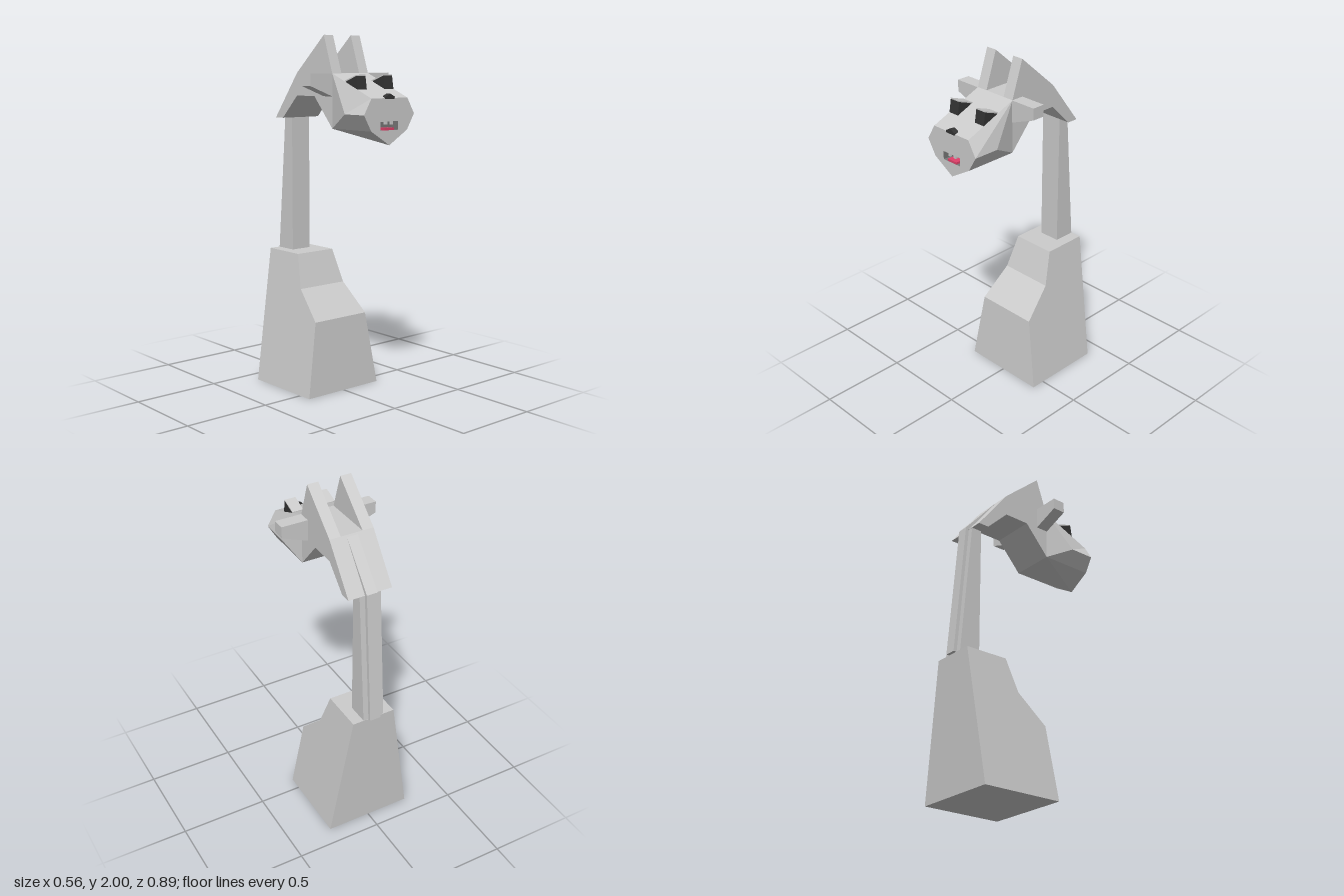
import * as THREE from 'three';

const paint = (color, side = THREE.FrontSide) =>
  new THREE.MeshStandardMaterial({ color, side, flatShading: true });
const grey = paint(0xcccccc);
const dark = paint(0x333333);
const pink = paint(0xe0406a);

const toShape = (pts) => new THREE.Shape(pts.map(([a, b]) => new THREE.Vector2(a, b)));
const extrude = (pts, depth) =>
  new THREE.ExtrudeGeometry(toShape(pts), { depth, bevelEnabled: false });

// Side outline given as [z, y], spanning x0 to x1
function sideSlab(pts, x0, x1) {
  return extrude(pts, x1 - x0).rotateY(-Math.PI / 2).translate(x1, 0, 0);
}

// Flat polygons, corners counter-clockwise seen from outside
function polygons(faces) {
  const out = [];
  for (const f of faces) {
    for (let i = 1; i < f.length - 1; i++) out.push(...f[0], ...f[i], ...f[i + 1]);
  }
  const g = new THREE.BufferGeometry();
  g.setAttribute('position', new THREE.Float32BufferAttribute(out, 3));
  g.computeVertexNormals();
  return g;
}

export function createModel() {
  const model = new THREE.Group();
  model.name = 'giraffe';
  const add = (name, geometry, material = grey) => {
    const mesh = new THREE.Mesh(geometry, material);
    mesh.name = name;
    model.add(mesh);
    return mesh;
  };
  const box = (name, size, at, material) =>
    add(name, new THREE.BoxGeometry(...size).translate(...at), material);

  // Body: stepped side outline, narrowing towards the top
  const body = sideSlab(
    [[0.08, 0], [0.053, 0.42], [-0.11, 0.58], [-0.172, 0.77], [-0.43, 0.77], [-0.398, 0]], -1, 1);
  const p = body.attributes.position;
  for (let i = 0; i < p.count; i++) p.setX(i, p.getX(i) * (0.255 - 0.165 * p.getY(i)));
  body.computeVertexNormals();
  add('body', body);

  // Neck and the narrow mane running up its back onto the head
  add('neck', sideSlab([[-0.302, 0.77], [-0.302, 1.56], [-0.365, 1.54], [-0.428, 0.77]], -0.063, 0.063));
  add('mane', sideSlab(
    [[-0.4, 0.77], [-0.34, 1.54], [-0.23, 1.7], [-0.18, 1.787], [-0.385, 1.55], [-0.448, 0.77]],
    -0.032, 0.032));

  // Back of the head, sloping down to meet the neck
  add('head', sideSlab(
    [[0.13, 1.5], [0.13, 1.795], [-0.172, 1.795], [-0.367, 1.54], [-0.302, 1.54], [-0.172, 1.67], [-0.02, 1.67]],
    -0.129, 0.129));

  // Muzzle: the corners of the +x side, mirrored for the other
  const brow = [0.129, 1.795, 0.13], lip = [0.129, 1.67, 0.44];
  const cheek = [0.18, 1.585, 0.44], cheekBack = [0.18, 1.585, 0.29];
  const jaw = [0.129, 1.5, 0.44], jawBack = [0.129, 1.5, 0.13];
  const chin = [0, 1.423, 0.44];
  const flip = ([x, y, z]) => [-x, y, z];
  const half = [
    [brow, lip, cheek, cheekBack],
    [brow, cheekBack, jawBack],
    [cheekBack, cheek, jaw, jawBack],
    [jawBack, jaw, chin],
  ];
  add('muzzle', polygons([
    ...half,
    ...half.map((f) => f.map(flip).reverse()),
    [brow, flip(brow), flip(lip), lip],
    [jawBack, chin, flip(jawBack)],
  ]));

  // Flat front of the muzzle with the mouth opening
  const face = toShape([[0, 1.423], [0.129, 1.5], [0.18, 1.585], [0.129, 1.67],
    [-0.129, 1.67], [-0.18, 1.585], [-0.129, 1.5]]);
  face.holes.push(new THREE.Path([[-0.063, 1.502], [-0.063, 1.548], [0.063, 1.548], [0.063, 1.502]]
    .map(([x, y]) => new THREE.Vector2(x, y))));
  add('muzzleFront', new THREE.ShapeGeometry(face).translate(0, 0, 0.44));

  // Mouth cavity, tongue and teeth
  box('mouthCavity', [0.126, 0.046, 0.05], [0, 1.525, 0.415], paint(0x777777, THREE.BackSide));
  box('tongue', [0.066, 0.012, 0.045], [0, 1.508, 0.416], pink);
  for (const s of [-1, 1]) {
    box('tooth', [0.016, 0.016, 0.012], [s * 0.02, 1.54, 0.432], grey);
  }

  // Nose: small peaked wedge
  add('nose', extrude([[-0.032, 1.665], [0.032, 1.665], [0.032, 1.677], [0, 1.693], [-0.032, 1.677]], 0.03)
    .translate(0, 0, 0.415), dark);

  for (const s of [-1, 1]) {
    const side = s > 0 ? 'left' : 'right';
    const [x0, x1] = s > 0 ? [0.064, 0.129] : [-0.129, -0.064];
    // Horn: tall triangular fin on the head
    add(side + 'Horn', sideSlab([[0.13, 1.795], [0.06, 2], [-0.172, 1.795]], x0, x1));
    // Ear: tapers outward from the side of the head
    add(side + 'Ear', extrude(
      [[0.129, 1.672], [0.282, 1.73], [0.282, 1.795], [0.129, 1.795]].map(([x, y]) => [s * x, y]), 0.075)
      .translate(0, 0, 0.058));
    // Eye wedge under a thin lid
    add(side + 'Eye', sideSlab([[0.234, 1.75], [0.334, 1.71], [0.322, 1.784]], x0, x1), dark);
    add(side + 'Eyelid', sideSlab([[0.232, 1.752], [0.322, 1.784], [0.322, 1.79], [0.232, 1.758]], x0, x1));
  }
  return model;
}
